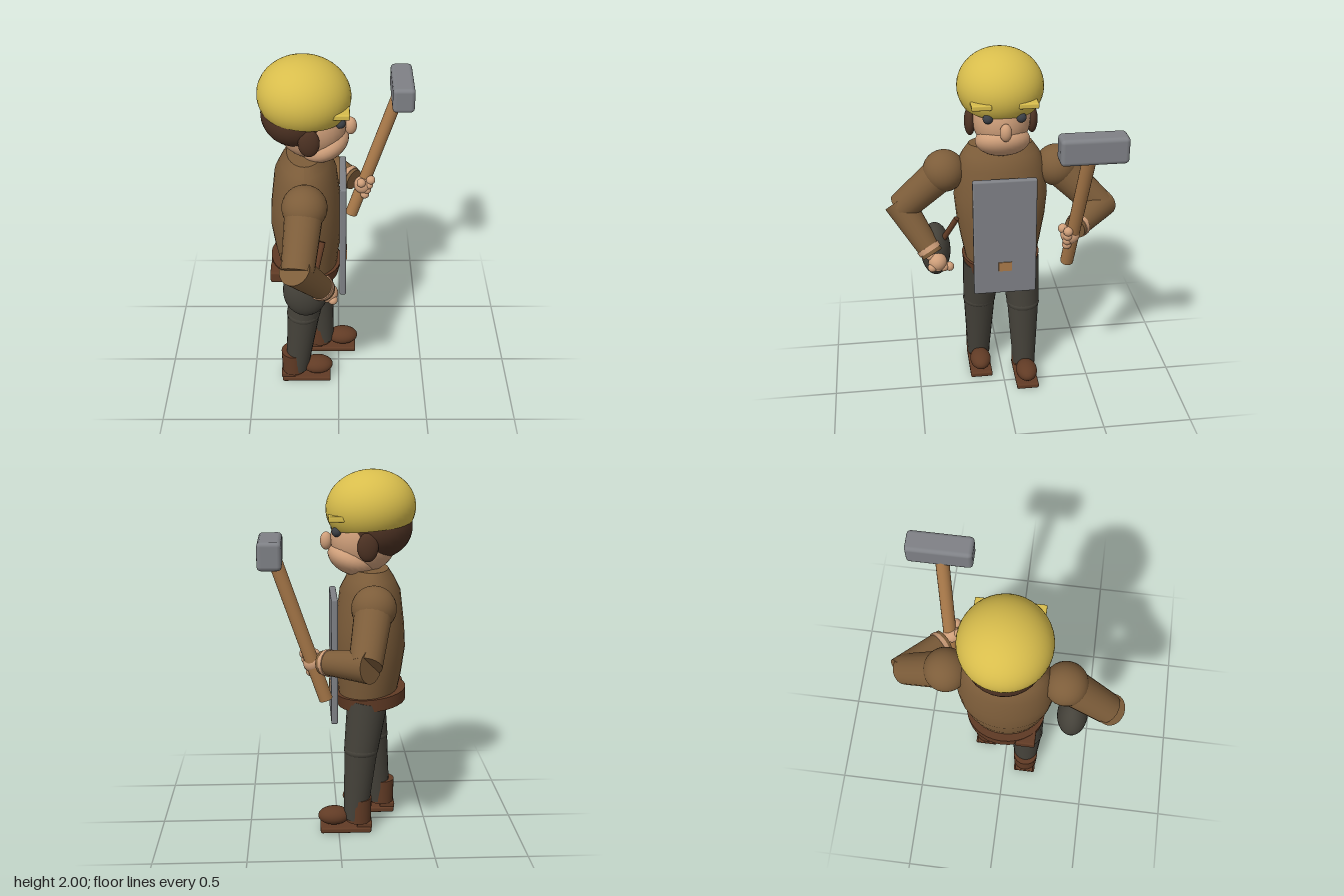
import * as THREE from 'three';
import { RoundedBoxGeometry } from 'three/addons/geometries/RoundedBoxGeometry.js';

const mat = (name, color) => {
  const m = new THREE.MeshStandardMaterial({ color });
  m.name = name;
  return m;
};

export function createModel() {
  const M = {
    yellow: mat('helmetYellow', 0xd8bd4c),
    jacket: mat('jacketBrown', 0x7d5d3a),
    trousers: mat('trouserOlive', 0x45423a),
    skin: mat('skin', 0xcf9f7a),
    hair: mat('hairBrown', 0x4d3223),
    leather: mat('leatherBrown', 0x613b25),
    steel: mat('steelGrey', 0x7f8186),
    wood: mat('wood', 0xaa7a4a),
    eye: mat('eyeGrey', 0x3c4046),
  };
  const V = (p) => new THREE.Vector3(...p);
  const model = new THREE.Group();
  model.name = 'worker';

  const add = (name, geo, material, pos = [0, 0, 0], parent = model) => {
    const m = new THREE.Mesh(geo, material);
    m.name = name;
    m.position.set(...pos);
    parent.add(m);
    return m;
  };
  // Ellipsoid with radii r
  const ball = (name, material, pos, r, parent) => {
    const m = add(name, new THREE.SphereGeometry(1, 28, 18), material, pos, parent);
    m.scale.set(...r);
    return m;
  };
  const box = (name, material, pos, size, radius = 0.01, parent) =>
    add(name, new RoundedBoxGeometry(...size, 2, radius), material, pos, parent);
  // Tapered cylinder from a to b
  const limb = (name, material, a, b, ra, rb, parent) => {
    const d = V(b).sub(V(a));
    const m = add(name, new THREE.CylinderGeometry(rb, ra, d.length(), 20), material,
      V(a).add(V(b)).multiplyScalar(0.5).toArray(), parent);
    m.quaternion.setFromUnitVectors(new THREE.Vector3(0, 1, 0), d.normalize());
    return m;
  };
  // Closed elliptical loft through rings [y, centreX, radiusX, radiusZ], lowest first
  const loft = (rings) => {
    const n = 32, rows = rings.length;
    const g = new THREE.CylinderGeometry(1, 1, 1, n, rows - 1);
    const p = g.attributes.position;
    for (let i = 0; i < p.count; i++) {
      const k = Math.round((p.getY(i) + 0.5) * (rows - 1));
      const [y, cx, rx, rz] = rings[k];
      p.setXYZ(i, cx + p.getX(i) * rx, y, p.getZ(i) * rz);
    }
    g.computeVertexNormals();
    return g;
  };

  // Head, facing +x
  const head = new THREE.Group();
  head.name = 'head';
  model.add(head);
  ball('skull', M.skin, [-0.14, 1.635, 0], [0.18, 0.18, 0.157], head);
  ball('jaw', M.skin, [-0.075, 1.53, 0], [0.135, 0.085, 0.148], head).rotation.z = 0.4;
  ball('hair', M.hair, [-0.215, 1.7, 0], [0.185, 0.17, 0.19], head);
  ball('nose', M.skin, [0.062, 1.625, 0], [0.032, 0.048, 0.032], head);
  for (const s of [1, -1]) {
    ball('ear', M.hair, [-0.15, 1.615, s * 0.168], [0.055, 0.077, 0.03], head);
    ball('eye', M.eye, [0.008, 1.685, s * 0.087], [0.027, 0.027, 0.027], head);
    box('helmetBrim', M.yellow, [0.0, 1.76, s * 0.122], [0.11, 0.03, 0.105], 0.008, head);
  }
  const dome = add('helmetDome', new THREE.SphereGeometry(1, 40, 20, 0, Math.PI * 2, 0, 2.08),
    M.yellow, [-0.175, 1.8, 0], head);
  dome.scale.set(0.24, 0.2, 0.232);
  dome.rotation.z = -0.1;
  const lining = add('helmetLining', new THREE.CircleGeometry(0.87, 40), M.yellow, [0, -0.488, 0], dome);
  lining.rotation.x = Math.PI / 2;

  // Torso and belt
  add('torso', loft([
    [0.75, -0.165, 0.155, 0.195], [0.9, -0.172, 0.178, 0.225], [1.05, -0.175, 0.195, 0.25],
    [1.18, -0.175, 0.187, 0.262], [1.36, -0.175, 0.165, 0.245], [1.43, -0.175, 0.13, 0.21],
    [1.48, -0.175, 0.098, 0.175],
  ]), M.jacket);
  const belt = add('belt', loft([[-0.035, 0, 0.19, 0.215], [0.035, 0, 0.196, 0.222]]),
    M.leather, [-0.185, 0.763, 0]);
  belt.rotation.z = -0.1;
  box('beltPouch', M.leather, [-0.33, 0.775, 0.13], [0.09, 0.065, 0.11], 0.01);
  ball('hips', M.trousers, [-0.165, 0.74, 0], [0.14, 0.07, 0.19]);

  // Legs and boots: the -z leg steps forward
  for (const [s, kneeX, ankleX] of [[1, -0.2, -0.245], [-1, -0.125, -0.095]]) {
    const leg = new THREE.Group();
    leg.name = s > 0 ? 'rearLeg' : 'forwardLeg';
    model.add(leg);
    const hip = [-0.16, 0.76, s * 0.108], knee = [kneeX, 0.48, s * 0.125], z = s * 0.13;
    limb('thigh', M.trousers, hip, knee, 0.112, 0.094, leg);
    ball('knee', M.trousers, knee, [0.096, 0.05, 0.096], leg);
    limb('shin', M.trousers, knee, [ankleX, 0.07, z], 0.092, 0.066, leg);
    limb('bootShaft', M.leather, [ankleX - 0.018, 0.055, z], [ankleX - 0.018, 0.195, z], 0.07, 0.073, leg);
    ball('bootToe', M.leather, [ankleX + 0.12, 0.085, z], [0.09, 0.052, 0.062], leg);
    box('sole', M.leather, [ankleX + 0.055, 0.016, z], [0.285, 0.032, 0.13], 0.01, leg);
    box('heel', M.leather, [ankleX - 0.05, 0.04, z], [0.085, 0.035, 0.11], 0.008, leg);
  }

  // Arms: shoulder ball, two sleeves, skin band at the cuff, hand with fingers
  const arm = (name, s, elbow, wrist, hand, fingerDir) => {
    const g = new THREE.Group();
    g.name = name;
    model.add(g);
    const shoulder = [-0.173, 1.325, s * 0.312];
    ball('shoulder', M.jacket, shoulder, [0.117, 0.117, 0.117], g);
    limb('upperSleeve', M.jacket, shoulder, elbow, 0.1, 0.085, g);
    const at = (t) => V(elbow).lerp(V(wrist), t).toArray();
    limb('lowerSleeve', M.jacket, at(-0.12), wrist, 0.086, 0.062, g);
    limb('cuffBand', M.skin, at(0.84), at(0.93), 0.071, 0.068, g);
    ball('palm', M.skin, hand, [0.052, 0.052, 0.052], g);
    const out = V(hand).sub(V(wrist)).normalize().multiplyScalar(0.035);
    for (let i = 0; i < 4; i++) {
      const p = V(hand).add(out).addScaledVector(V(fingerDir), (i - 1.5) * 0.034);
      ball('finger', M.skin, p.toArray(), [0.026, 0.026, 0.026], g);
    }
    ball('thumb', M.skin, [hand[0] - 0.01, hand[1] + 0.035, hand[2] + 0.04], [0.026, 0.026, 0.026], g);
  };
  arm('bagArm', 1, [-0.205, 1.1, 0.55], [-0.075, 0.86, 0.395], [-0.055, 0.82, 0.37], [0.2, 0.1, 0.95]);
  arm('hammerArm', -1, [-0.115, 1.09, -0.555], [0.09, 1.06, -0.375], [0.14, 1.05, -0.34], [0.32, 0.94, 0]);

  // Bag with its short strap
  ball('bag', M.trousers, [-0.175, 0.84, 0.375], [0.12, 0.157, 0.086]);
  limb('bagStrap', M.leather, [-0.13, 0.9, 0.345], [-0.085, 1.07, 0.255], 0.016, 0.016);

  // Hammer
  limb('hammerHandle', M.wood, [0.075, 0.85, -0.34], [0.335, 1.62, -0.39], 0.036, 0.036);
  box('hammerHead', M.steel, [0.35, 1.64, -0.398], [0.12, 0.14, 0.345], 0.022);

  // Apron plate with a small tag
  box('apronPlate', M.steel, [0.023, 0.993, 0], [0.036, 0.696, 0.35], 0.01);
  add('apronTag', new THREE.BoxGeometry(0.006, 0.055, 0.074), M.wood, [0.043, 0.817, 0]);

  return model;
}
